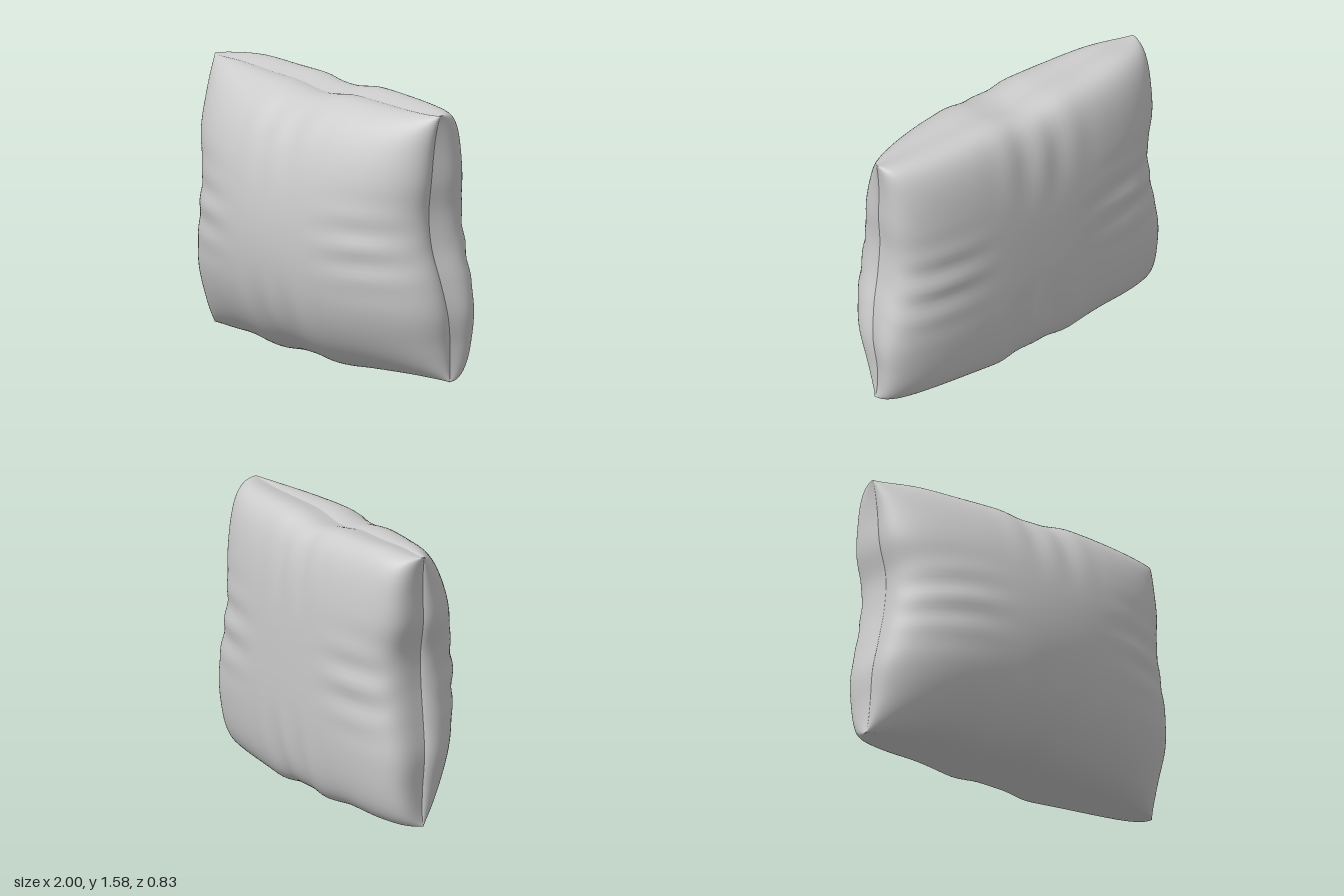
import * as THREE from 'three';

// Smooth curve through evenly spaced values, t running from -1 to 1
function profile(values) {
  const n = values.length - 1;
  const at = i => values[Math.min(n, Math.max(0, i))];
  return t => {
    const p = THREE.MathUtils.clamp((t + 1) / 2, 0, 1) * n;
    const i = Math.min(n - 1, Math.floor(p)), f = p - i;
    const a = at(i - 1), b = at(i), c = at(i + 1), d = at(i + 2);
    return b + 0.5 * f * (c - a + f * (2 * a - 5 * b + 4 * c - d + f * (3 * (b - c) + d - a)));
  };
}

// Outline of the cushion: sides from bottom to top, ends from left edge to right edge
const xMin = profile([-1.0, -1.0, -1.0, -0.965, -0.93, -0.92, -0.96, -0.965, -0.97]);
const xMax = profile([0.965, 0.98, 0.995, 0.965, 0.915, 0.895, 0.91, 0.915, 0.925]);
const yMin = profile([0.025, 0.03, 0.035, 0.012, 0.03, 0.004, 0.02, 0.032, 0.035]);
const yMax = profile([1.565, 1.58, 1.57, 1.563, 1.535, 1.563, 1.56, 1.553, 1.548]);

// Depth of the seam along the two sides, bottom to top
const seamA = profile([-0.08, -0.08, -0.07, -0.05, -0.04, -0.04, -0.05, -0.055, -0.055]);
const seamB = profile([-0.1, -0.11, -0.11, -0.075, -0.037, -0.035, -0.05, -0.062, -0.07]);

// The cloth swells past the seam before curling back into it
const BACK_CURL = 0.25, FRONT_CURL = 0.15;
function swell(s, other, curl) {
  const fade = 1 - other ** 4;
  const k = curl * fade;
  return Math.sin(s * (Math.PI / 2 + k)) / Math.cos(k) * Math.cos(BACK_CURL * fade);
}

// Small gathers that run in from the middle of each edge
function gather(along, across) {
  const band = THREE.MathUtils.smoothstep(Math.abs(across), 0.15, 0.5) * (1 - across ** 4);
  return Math.cos(along * 42) * Math.exp(-((along / 0.16) ** 2)) * band;
}

const frontFullness = (u, v) =>
  Math.max(0, Math.cos(u * Math.PI / 2)) ** 1.15 * Math.max(0, Math.cos(v * Math.PI / 2));
const backCurve = s => Math.max(0, 1 - Math.abs(s) ** 2.6) ** 0.85;
const backFullness = (u, v) => backCurve(u) * backCurve(v);

function cushionHalf(name, isFront) {
  const geometry = new THREE.PlaneGeometry(2, 2, 80, 80);
  if (!isFront) geometry.rotateY(Math.PI);
  const pos = geometry.attributes.position;
  const curl = isFront ? FRONT_CURL : BACK_CURL;
  const lerp = THREE.MathUtils.lerp;

  for (let i = 0; i < pos.count; i++) {
    const u = pos.getX(i), v = pos.getY(i);
    const U = swell(u, v, curl), V = swell(v, u, curl);
    const x = lerp(xMin(V), xMax(V), (U + 1) / 2);
    const y = lerp(yMin(U), yMax(U), (V + 1) / 2);
    const seam = lerp(seamA(v), seamB(v), (u + 1) / 2);
    const full = isFront ? frontFullness(u, v) : backFullness(u, v);
    const ripple = 0.012 * (gather(u, v) + gather(v, u)) * Math.sqrt(full);
    const z = lerp(seam, isFront ? 0.42 : -0.415, full) + (isFront ? ripple : -ripple);
    pos.setXYZ(i, x, y, z);
  }
  geometry.computeVertexNormals();
  const material = new THREE.MeshStandardMaterial({ color: 0xcccccc, side: THREE.DoubleSide });
  const mesh = new THREE.Mesh(geometry, material);
  mesh.name = name;
  return mesh;
}

export function createModel() {
  const group = new THREE.Group();
  group.name = 'cushion';
  group.add(cushionHalf('frontCover', true), cushionHalf('backCover', false));
  return group;
}
